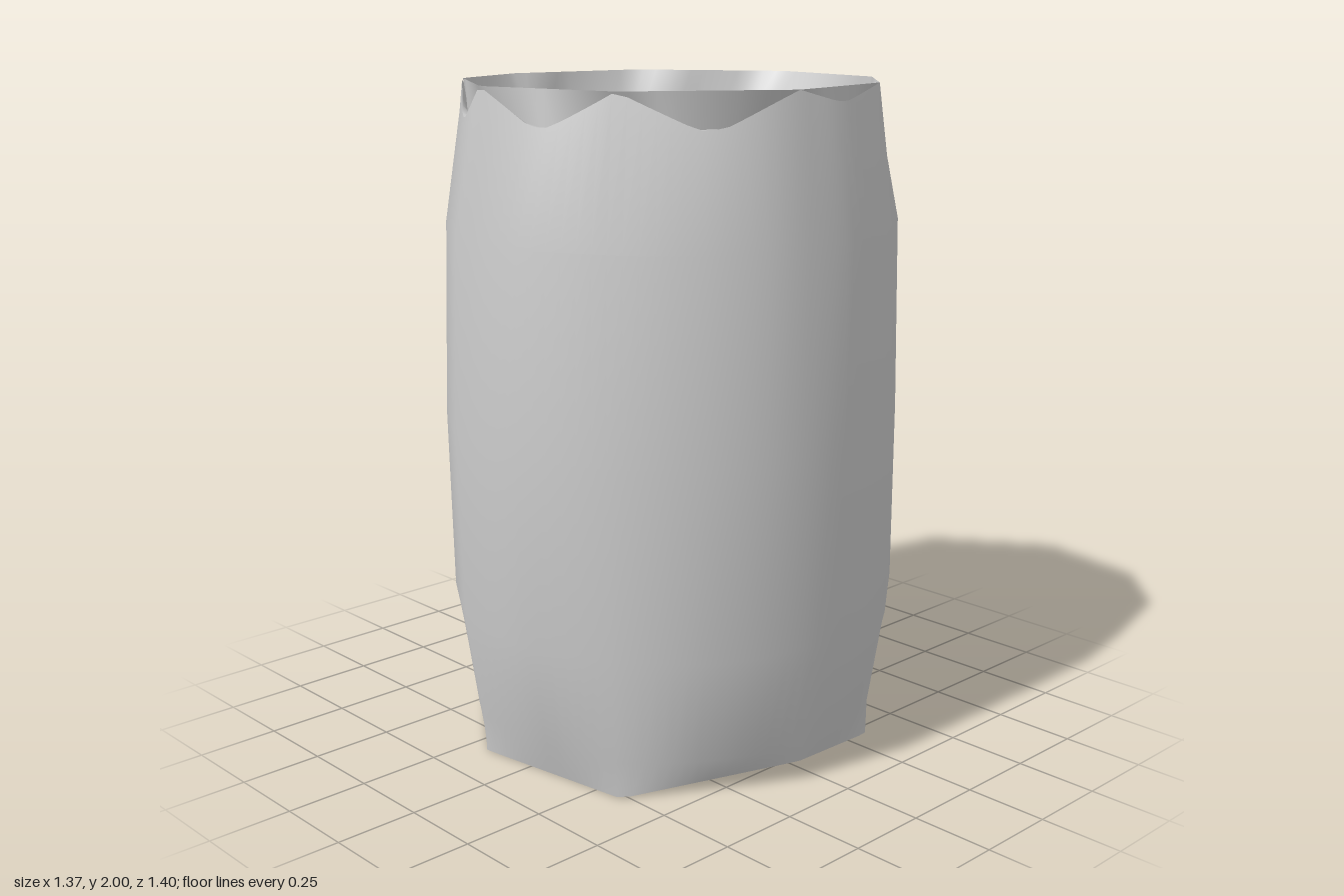
import * as THREE from 'three';

const N = 96; // samples around each ring

// Corner outlines as [x, z, y?], ordered by rising angle from +x towards +z
const BASE = [[0.54, -0.33], [0.62, 0.07, 0.065], [0.34, 0.52], [-0.18, 0.6], [-0.59, 0.29], [-0.59, -0.31], [0.06, -0.655]];
const BODY = [[0.69, 0], [0.64, 0.26], [0.57, 0.4], [0.4, 0.56], [0.14, 0.7], [-0.18, 0.68], [-0.5, 0.48], [-0.65, 0.26],
  [-0.69, -0.14], [-0.58, -0.4], [-0.4, -0.61], [-0.12, -0.69], [-0.03, -0.702], [0.12, -0.68], [0.4, -0.6], [0.64, -0.28]];
const RIM = [[0.605, 0.1], [0.33, 0.51], [-0.12, 0.61], [-0.49, 0.39], [-0.605, 0.1], [-0.53, -0.35], [-0.12, -0.63], [0.3, -0.56], [0.53, -0.32]];
const LID = [[0.58, -0.04], [0.51, 0.17], [0.4, 0.4], [0.1, 0.57], [-0.1, 0.57], [-0.4, 0.44], [-0.5, 0.35],
  [-0.575, -0.05], [-0.5, -0.27], [-0.37, -0.46], [-0.24, -0.54], [0.27, -0.57], [0.33, -0.51], [0.54, -0.2]];
const DIPS = [0.1, 0.1, 0.1, 0.1, 0.1, 0.1, 0.03, 0, 0.04]; // notch depth on each rim edge
const LID_Y = 1.897;

// Cast a ray from the axis to an outline; i is the edge hit and t the place along it
function hit(poly, a) {
  const dx = Math.cos(a), dz = Math.sin(a);
  for (let i = 0; i < poly.length; i++) {
    const p = poly[i], q = poly[(i + 1) % poly.length];
    const ex = q[0] - p[0], ez = q[1] - p[1];
    const det = dx * ez - dz * ex;
    const r = (p[0] * ez - p[1] * ex) / det;
    const t = (p[0] * dz - p[1] * dx) / det;
    if (r > 0 && t >= -1e-7 && t <= 1 + 1e-7) return { r, t, i, y: (p[2] || 0) * (1 - t) + (q[2] || 0) * t };
  }
  throw new Error('The outline must surround the axis');
}

// Ring of points from a rule giving [radius, height] at an angle
function ring(rule) {
  return Array.from({ length: N }, (_, i) => {
    const a = (i + 0.5) / N * Math.PI * 2;
    const [r, y] = rule(a);
    return [r * Math.cos(a), y, r * Math.sin(a)];
  });
}

function surface(points, index) {
  const g = new THREE.BufferGeometry();
  g.setAttribute('position', new THREE.Float32BufferAttribute(points.flat(), 3));
  g.setIndex(index);
  g.computeVertexNormals();
  return g;
}

// Skin between successive closed rings
function skin(rings) {
  const index = [];
  for (let j = 0; j < rings.length - 1; j++) {
    for (let i = 0; i < N; i++) {
      const k = (i + 1) % N;
      const a = j * N + i, b = j * N + k, c = a + N, d = b + N;
      index.push(a, c, b, b, c, d);
    }
  }
  return surface(rings.flat(), index);
}

// Turn normals straight out from the axis so the wall shades as one round surface
function roundNormals(g) {
  const p = g.attributes.position, n = g.attributes.normal, v = new THREE.Vector3();
  for (let i = 0; i < p.count; i++) {
    const ny = n.getY(i);
    v.set(p.getX(i), 0, p.getZ(i)).setLength(Math.sqrt(1 - ny * ny));
    n.setXYZ(i, v.x, ny, v.z);
  }
  return g;
}

export function createModel() {
  const group = new THREE.Group();
  const add = (name, geometry, side = THREE.DoubleSide) => {
    const mesh = new THREE.Mesh(geometry, new THREE.MeshStandardMaterial({ color: 0xcccccc, side }));
    mesh.name = name;
    group.add(mesh);
  };

  // Upper edge of the wall dips into a notch between rim corners
  const edge = ring(a => {
    const h = hit(RIM, a);
    const dip = DIPS[h.i] * Math.min(1, 1.15 * (1 - Math.abs(2 * h.t - 1)));
    return [h.r + (hit(BODY, a).r - h.r) * dip / 0.42, 2 - dip];
  });
  const lidRing = ring(a => [hit(LID, a).r, LID_Y]);

  // Bulging barrel wall, a little flatter at the front shoulders
  const bodyRing = (y, scale, flat) => ring(a => [hit(BODY, a).r * (scale - flat * Math.max(0, Math.sin(a))), y]);
  add('barrelWall', roundNormals(skin([
    ring(a => { const h = hit(BASE, a); return [h.r, h.y]; }),
    ring(a => [0.5 * (hit(BASE, a).r + 0.635), 0.11]),
    bodyRing(0.44, 1, 0.022),
    bodyRing(1.0, 1, 0),
    bodyRing(1.58, 0.985, 0.012),
    edge,
  ])));

  // Ledge from the notched edge in to the lid
  add('rimLedge', skin([edge, lidRing]));

  // Straight-topped rim leaning out from the lid, seen through the notches
  add('rimWall', skin([ring(a => [hit(RIM, a).r - 0.002, 2]), lidRing]));

  // Flat recessed lid
  add('lid', skin([lidRing, ring(() => [0.001, LID_Y])]), THREE.FrontSide);

  // Underside with one lifted corner
  const fan = [];
  for (let i = 1; i < BASE.length - 1; i++) fan.push(0, i, i + 1);
  const underside = surface(BASE.map(([x, z, y = 0]) => [x, y, z]), fan).toNonIndexed();
  underside.computeVertexNormals();
  add('underside', underside, THREE.FrontSide);

  // Small raised bung on the lid
  add('bung', surface([
    [0.28, LID_Y + 0.002, 0.01], [0.385, LID_Y + 0.05, -0.1], [0.4, LID_Y + 0.05, -0.095],
    [0.42, LID_Y + 0.04, 0.055], [0.385, LID_Y + 0.002, 0.08],
  ], [0, 2, 1, 0, 3, 2, 0, 4, 3]));

  return group;
}
